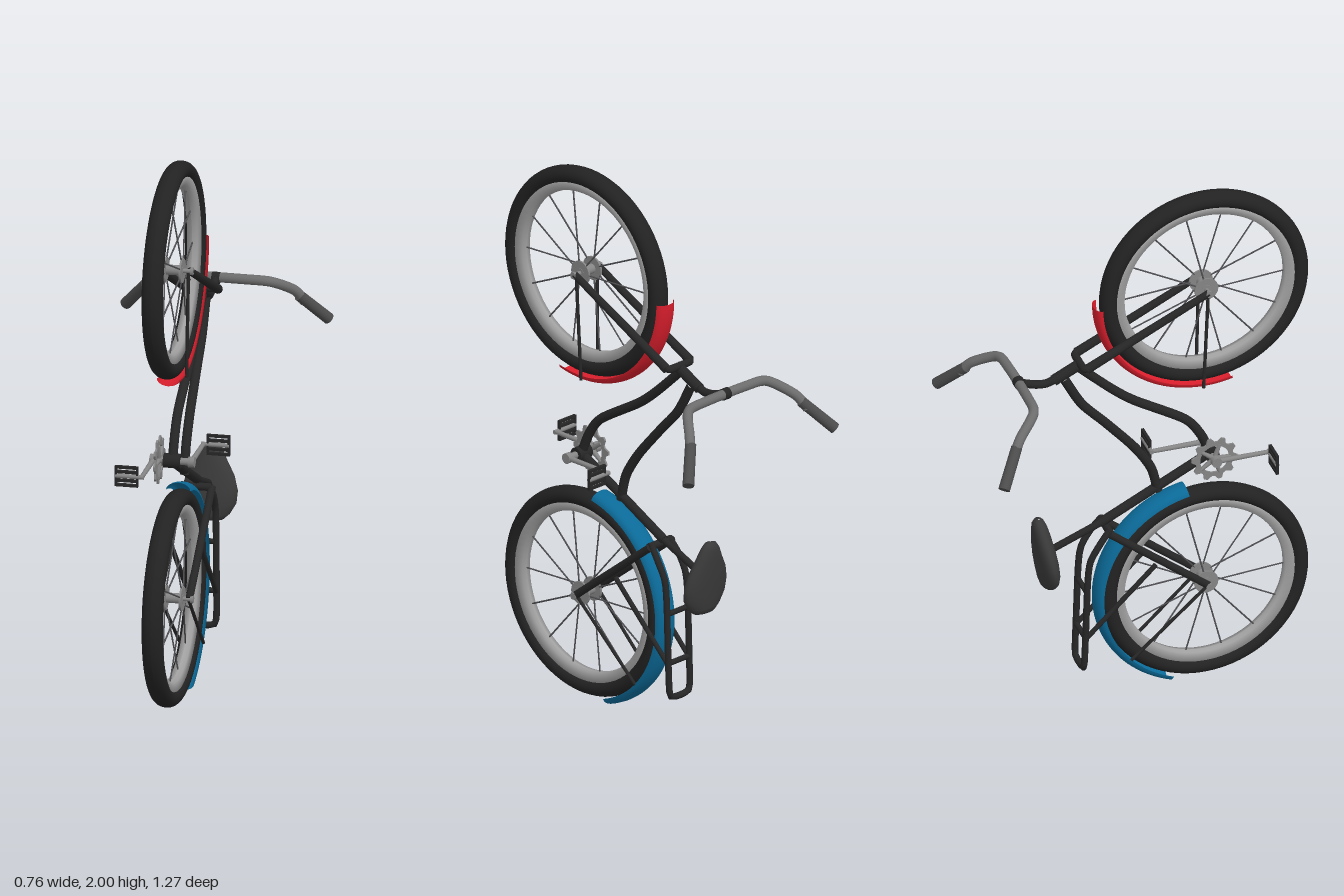
import * as THREE from 'three';

const V = (x, y, z) => new THREE.Vector3(x, y, z);
const mat = (color, side = THREE.FrontSide) => new THREE.MeshStandardMaterial({ color, side });
const M = {
  black: mat(0x262626), rubber: mat(0x222222), rim: mat(0xa0a0a0), spoke: mat(0x505054),
  steel: mat(0x858585), bar: mat(0x6c6c6c), grip: mat(0x4c4c4c), saddle: mat(0x3a3a3a),
  red: mat(0xd81e2c, THREE.DoubleSide), blue: mat(0x0b6a98, THREE.DoubleSide),
};
const HUB_Z = 0.248, FRONT_Y = 1.613, REAR_Y = 0.391;

function add(parent, name, geo, material) {
  const m = new THREE.Mesh(geo, material);
  m.name = name;
  parent.add(m);
  return m;
}

// round bar between two points
function rod(parent, name, a, b, r, material, r2 = r, sides = 12) {
  const d = b.clone().sub(a);
  const m = add(parent, name, new THREE.CylinderGeometry(r2, r, d.length(), sides), material);
  m.position.copy(a).addScaledVector(d, 0.5);
  m.quaternion.setFromUnitVectors(V(0, 1, 0), d.normalize());
  return m;
}

// smooth bent tube through points
function bent(parent, name, pts, r, material) {
  const curve = new THREE.CatmullRomCurve3(pts, false, 'catmullrom', 0.4);
  return add(parent, name, new THREE.TubeGeometry(curve, 56, r, 12), material);
}

// lathe around the x axis; profile entries are [radius, x]
function spin(parent, name, profile, material, start = 0, length = Math.PI * 2) {
  const g = new THREE.LatheGeometry(profile.map(([r, x]) => new THREE.Vector2(r, x)), 72, start, length);
  return add(parent, name, g.rotateZ(-Math.PI / 2), material);
}

function wheel(name, y) {
  const g = new THREE.Group();
  g.name = name;
  g.position.set(0, y, HUB_Z);
  const tire = [];
  for (let i = 0; i <= 20; i++) {
    const a = i / 20 * Math.PI * 2;
    tire.push([0.354 + 0.032 * Math.cos(a), 0.038 * Math.sin(a)]);
  }
  spin(g, 'tire', tire, M.rubber);
  spin(g, 'rim', [[0.295, 0], [0.299, -0.018], [0.33, -0.026], [0.335, 0], [0.33, 0.026], [0.299, 0.018], [0.295, 0]], M.rim);
  // hub with flanges and axle
  rod(g, 'hub', V(-0.034, 0, 0), V(0.034, 0, 0), 0.018, M.steel, 0.018, 20);
  rod(g, 'axle', V(-0.068, 0, 0), V(0.068, 0, 0), 0.008, M.steel);
  for (const s of [-1, 1]) {
    rod(g, 'hubFlange', V(s * 0.026, 0, 0), V(s * 0.033, 0, 0), 0.044, M.steel, 0.044, 24);
    rod(g, 'axleNut', V(s * 0.06, 0, 0), V(s * 0.07, 0, 0), 0.014, M.steel, 0.014, 6);
  }
  for (let i = 0; i < 14; i++) {
    const a = i / 14 * Math.PI * 2, c = Math.cos(a), s = Math.sin(a);
    rod(g, 'spoke', V(i % 2 ? 0.029 : -0.029, s * 0.035, c * 0.035), V(0, s * 0.3, c * 0.3), 0.003, M.spoke, 0.003, 6);
  }
  return g;
}

// curved strip around a wheel; angles in degrees from +z towards +y
function fender(parent, name, y, from, to, edgeRadius, halfWidth, material) {
  const profile = [];
  for (let i = 0; i <= 10; i++) {
    const t = (i / 10 - 0.5) * Math.PI;
    profile.push([edgeRadius + (0.411 - edgeRadius) * Math.cos(t), halfWidth * Math.sin(t)]);
  }
  const rad = Math.PI / 180;
  spin(parent, name, profile, material, -to * rad, (to - from) * rad).position.set(0, y, HUB_Z);
}

function saddleGeometry() {
  // y, half width, middle z, half depth
  const rows = [[0.761, 0.002, -0.364, 0.004], [0.756, 0.024, -0.364, 0.017], [0.735, 0.04, -0.362, 0.026],
    [0.695, 0.06, -0.355, 0.031], [0.645, 0.087, -0.347, 0.035], [0.595, 0.1, -0.339, 0.037],
    [0.55, 0.096, -0.333, 0.037], [0.51, 0.073, -0.33, 0.034], [0.489, 0.05, -0.33, 0.027], [0.482, 0.002, -0.33, 0.004]];
  const N = 24, pos = [], idx = [];
  rows.forEach(([y, w, z, d], j) => {
    for (let i = 0; i < N; i++) {
      const a = i / N * Math.PI * 2;
      pos.push(w * Math.cos(a), y, z + d * Math.sin(a));
      if (j < rows.length - 1) {
        const p = j * N + i, q = j * N + (i + 1) % N;
        idx.push(p, q, p + N, q, q + N, p + N);
      }
    }
  });
  const g = new THREE.BufferGeometry();
  g.setAttribute('position', new THREE.Float32BufferAttribute(pos, 3));
  g.setIndex(idx);
  g.computeVertexNormals();
  return g;
}

function crankset() {
  const g = new THREE.Group();
  g.name = 'crankset';
  g.position.set(0, 0.911, 0.272);
  rod(g, 'bottomBracket', V(-0.03, 0, 0), V(0.03, 0, 0), 0.026, M.black, 0.026, 20);
  rod(g, 'crankAxle', V(-0.078, 0, 0), V(0.078, 0, 0), 0.013, M.steel);
  // toothed ring with spider arms
  const ring = new THREE.Shape();
  for (let i = 0; i < 40; i++) {
    const r = i % 4 < 2 ? 0.086 : 0.07, a = i / 40 * Math.PI * 2;
    ring[i ? 'lineTo' : 'moveTo'](r * Math.cos(a), r * Math.sin(a));
  }
  ring.holes.push(new THREE.Path().absarc(0, 0, 0.054, 0, Math.PI * 2, true));
  const ringGeo = new THREE.ExtrudeGeometry(ring, { depth: 0.007, bevelEnabled: false, curveSegments: 24 });
  add(g, 'chainring', ringGeo.rotateY(Math.PI / 2).translate(-0.052, 0, 0), M.steel);
  for (let i = 0; i < 5; i++) {
    const a = i / 5 * Math.PI * 2;
    rod(g, 'chainringArm', V(-0.048, 0, 0), V(-0.048, 0.06 * Math.sin(a), 0.06 * Math.cos(a)), 0.01, M.steel, 0.007, 8);
  }
  // opposite crank arms and pedals
  for (const s of [-1, 1]) {
    const z = -s * 0.195;
    rod(g, 'crankArm', V(s * 0.068, 0, 0), V(s * 0.068, 0, z), 0.01, M.steel, 0.008);
    rod(g, 'crankBoss', V(s * 0.058, 0, 0), V(s * 0.08, 0, 0), 0.019, M.steel, 0.019, 16);
    const pedal = new THREE.Group();
    pedal.name = 'pedal';
    pedal.position.set(s * 0.122, 0, z);
    g.add(pedal);
    rod(pedal, 'pedalAxle', V(-s * 0.062, 0, 0), V(s * 0.04, 0, 0), 0.008, M.steel);
    for (const k of [-1, 1]) {
      add(pedal, 'pedalSide', new THREE.BoxGeometry(0.007, 0.076, 0.011), M.black).position.x = k * 0.038;
      for (const y of [0.016, 0.033]) {
        add(pedal, 'pedalTread', new THREE.BoxGeometry(0.08, 0.01, 0.011), M.black).position.y = k * y;
      }
    }
  }
  return g;
}

export function createModel() {
  const model = new THREE.Group();
  model.name = 'bicycle';
  model.add(wheel('frontWheel', FRONT_Y), wheel('rearWheel', REAR_Y), crankset());
  fender(model, 'frontFender', FRONT_Y, 181, 284, 0.386, 0.041, M.red);
  fender(model, 'rearFender', REAR_Y, 100, 251, 0.383, 0.044, M.blue);

  // main frame
  rod(model, 'seatTube', V(0, 0.908, 0.272), V(0, 0.7, -0.135), 0.017, M.black);
  rod(model, 'seatPost', V(0, 0.714, -0.1), V(0, 0.624, -0.32), 0.013, M.black);
  bent(model, 'downTube', [V(0, 0.912, 0.272), V(0, 0.995, 0.235), V(0, 1.07, 0.175), V(0, 1.185, -0.01),
    V(0, 1.257, -0.1), V(0, 1.372, -0.222)], 0.017, M.black);
  bent(model, 'topTube', [V(0, 0.792, 0.078), V(0, 0.892, 0.052), V(0, 0.99, -0.01), V(0, 1.112, -0.115),
    V(0, 1.212, -0.205), V(0, 1.332, -0.272)], 0.017, M.black);
  rod(model, 'headTube', V(0, 1.384, -0.2), V(0, 1.329, -0.31), 0.02, M.black);
  bent(model, 'stem', [V(0, 1.337, -0.295), V(0, 1.324, -0.335), V(0, 1.327, -0.375), V(0, 1.347, -0.437)], 0.015, M.black);
  rod(model, 'barClamp', V(-0.014, 1.347, -0.437), V(0.014, 1.347, -0.437), 0.021, M.black, 0.021, 16);
  add(model, 'saddle', saddleGeometry(), M.saddle);

  // fork crown, handlebar
  bent(model, 'forkCrown', [V(-0.058, 1.396, -0.195), V(-0.052, 1.389, -0.211), V(-0.035, 1.388, -0.214),
    V(0.035, 1.388, -0.214), V(0.052, 1.389, -0.211), V(0.058, 1.396, -0.195)], 0.014, M.black);
  bent(model, 'handlebar', [V(-0.29, 1.242, -0.556), V(-0.262, 1.292, -0.522), V(-0.195, 1.342, -0.45), V(-0.1, 1.348, -0.44),
    V(0.1, 1.348, -0.44), V(0.195, 1.342, -0.45), V(0.262, 1.292, -0.522), V(0.29, 1.242, -0.556)], 0.018, M.bar);

  // rack loop: along one side, round the end and back
  const half = [[0.045, 0.692, -0.115], [0.052, 0.637, -0.158], [0.052, 0.577, -0.19], [0.052, 0.492, -0.2],
    [0.052, 0.292, -0.207], [0.05, 0.157, -0.212], [0.032, 0.134, -0.213]];
  bent(model, 'rack', [...half.map(p => V(...p)), ...half.slice().reverse().map(([x, y, z]) => V(-x, y, z))], 0.012, M.black);
  for (const [y, z] of [[0.45, -0.201], [0.265, -0.208]]) {
    rod(model, 'rackCrossbar', V(-0.052, y, z), V(0.052, y, z), 0.01, M.black);
  }
  rod(model, 'stayBridge', V(-0.055, 0.682, -0.115), V(0.055, 0.682, -0.115), 0.014, M.black);

  // paired side parts
  for (const s of [-1, 1]) {
    rod(model, 'forkBlade', V(s * 0.058, FRONT_Y, HUB_Z), V(s * 0.058, 1.389, -0.206), 0.013, M.black, 0.017);
    rod(model, 'seatStay', V(s * 0.055, REAR_Y, HUB_Z), V(s * 0.055, 0.682, -0.12), 0.014, M.black);
    rod(model, 'rackStrut', V(s * 0.054, 0.517, 0.052), V(s * 0.052, 0.26, -0.207), 0.009, M.black);
    rod(model, 'frontFenderStay', V(s * 0.052, FRONT_Y, HUB_Z), V(s * 0.042, 1.212, 0.234), 0.006, M.black);
    rod(model, 'rearFenderStay', V(s * 0.052, REAR_Y, HUB_Z), V(s * 0.043, 0.13, -0.035), 0.006, M.black);
    rod(model, 'grip', V(s * 0.275, 1.267, -0.54), V(s * 0.365, 1.16, -0.618), 0.02, M.grip, 0.021, 16);
  }
  return model;
}
